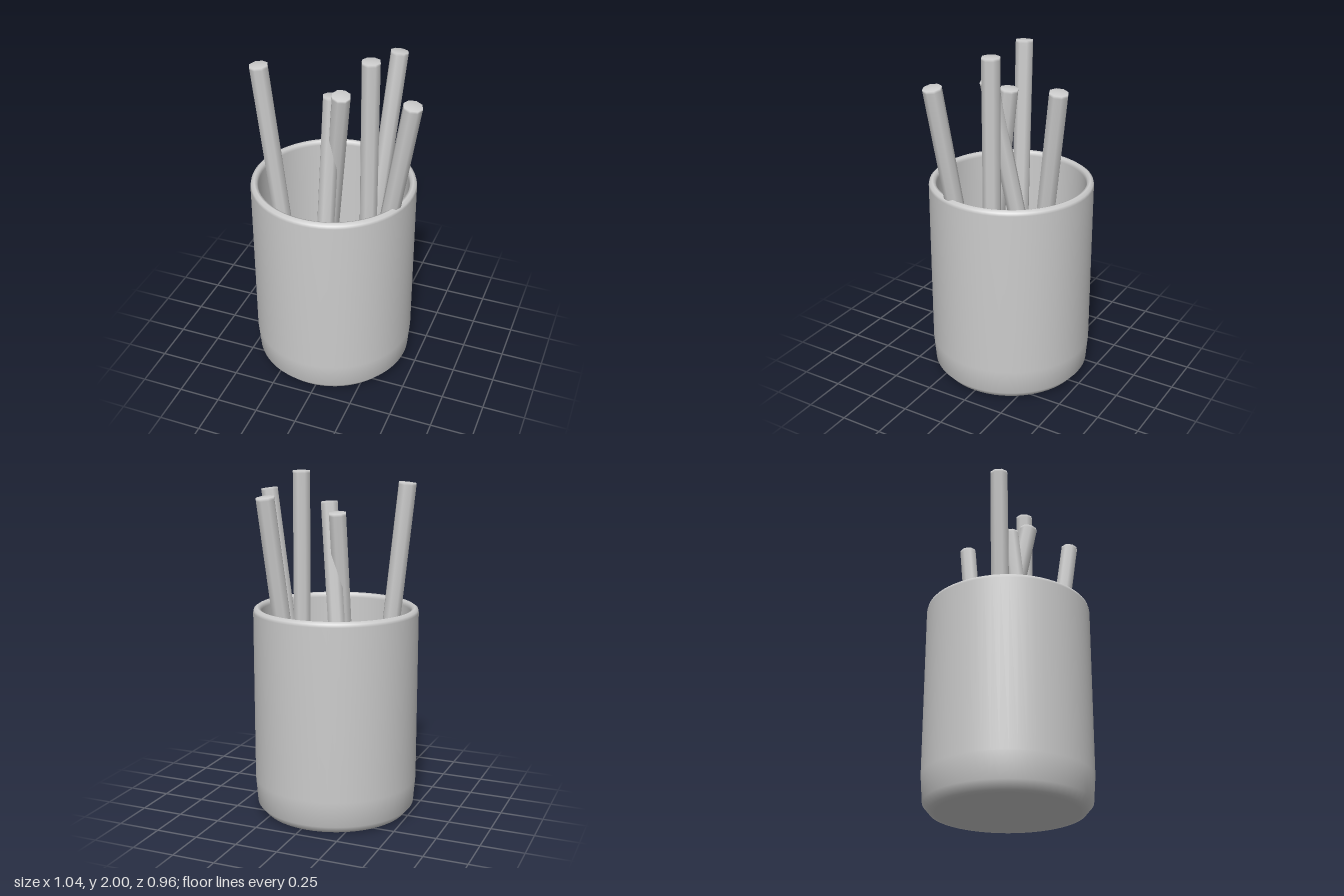
import * as THREE from 'three';

const CUP_X = -0.04;
const FLOOR = 0.06;

const lathe = (pts, segments) =>
  new THREE.LatheGeometry(pts.map(([r, y]) => new THREE.Vector2(r, y)), segments);

export function createModel() {
  const model = new THREE.Group();
  model.name = 'pencilCup';
  const grey = new THREE.MeshStandardMaterial({ color: 0xcccccc });
  grey.name = 'light grey';

  // Cup: chamfered foot, straight wall, rounded rim, hollow inside
  const cup = new THREE.Mesh(lathe([
    [0, 0], [0.40, 0], [0.43, 0.005], [0.468, 0.05], [0.48, 0.2],
    [0.48, 1.2], [0.476, 1.217], [0.458, 1.229], [0.442, 1.222], [0.435, 1.2],
    [0.435, 0.2], [0.425, 0.09], [0.39, FLOOR], [0, FLOOR],
  ], 64), grey);
  cup.name = 'cup';
  cup.position.x = CUP_X;
  model.add(cup);

  // Pencils: eight-sided rods with softly shaded ends, given by foot and tip
  const pencils = [
    [[-0.24, FLOOR, 0.07], [-0.42, 1.94, 0.136]],
    [[0.068, FLOOR, -0.187], [0.2, 1.88, -0.425]],
    [[0.175, FLOOR, 0.002], [0.175, 2, 0.002]],
    [[0.163, FLOOR, 0.062], [0.468, 1.88, 0.184]],
    [[-0.058, FLOOR, 0.217], [-0.042, 1.765, 0.015]],
    [[-0.182, FLOOR, -0.168], [0.043, 1.82, 0.098]],
  ];
  const up = new THREE.Vector3(0, 1, 0);
  const r = 0.053;
  pencils.forEach(([a, b], i) => {
    const foot = new THREE.Vector3(...a);
    const axis = new THREE.Vector3(...b).sub(foot);
    const h = axis.length();
    const pencil = new THREE.Mesh(lathe([
      [0, 0], [r, 0], [r, 0.015], [r, 0.03], [r, h - 0.03], [r, h - 0.015], [r, h], [0, h],
    ], 8), grey);
    pencil.name = `pencil${i + 1}`;
    pencil.position.copy(foot);
    pencil.quaternion.setFromUnitVectors(up, axis.normalize());
    model.add(pencil);
  });
  return model;
}
